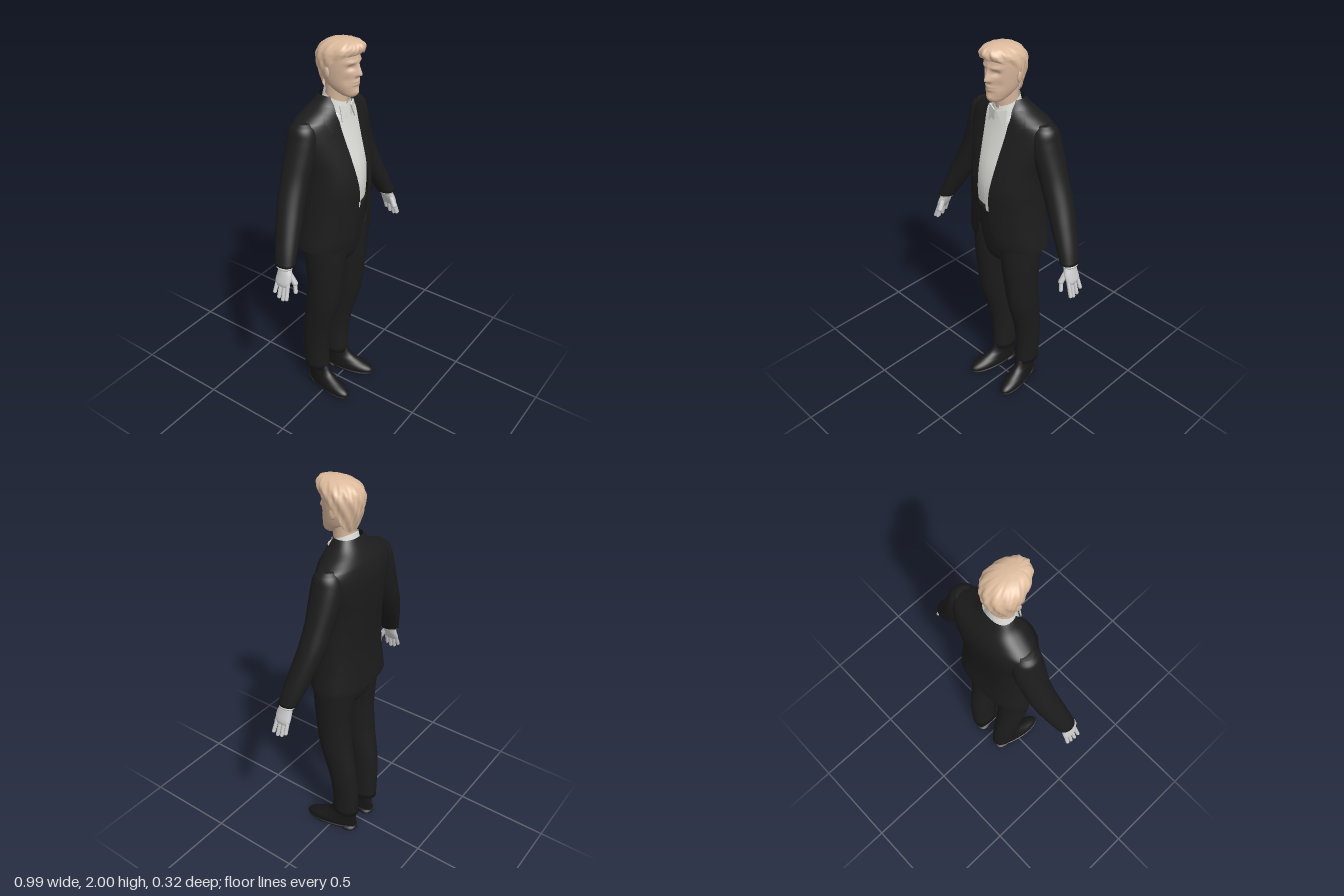
import * as THREE from 'three';
import { mergeVertices } from 'three/addons/utils/BufferGeometryUtils.js';

const TAU = Math.PI * 2;
const flat = (name, color) => {
  const m = new THREE.MeshStandardMaterial({ color, side: THREE.DoubleSide });
  m.name = name;
  return m;
};

// Cross-section columns: y, centre x, half width, middle z, front z, back z, start angle, end angle
// Angles run from the front (0) towards the left (+x).
function sample(rings, y) {
  let i = 0;
  while (i < rings.length - 2 && y > rings[i + 1][0]) i++;
  const a = rings[i], b = rings[i + 1], p = rings[i - 1] || a, n = rings[i + 2] || b;
  const h = b[0] - a[0], t = (y - a[0]) / h, t2 = t * t, t3 = t2 * t;
  return a.map((v, k) => {
    if (k === 0) return y;
    const ma = (b[k] - p[k]) / (b[0] - p[0]) * h, mb = (n[k] - v) / (n[0] - a[0]) * h;
    return v * (2 * t3 - 3 * t2 + 1) + ma * (t3 - 2 * t2 + t) + b[k] * (3 * t2 - 2 * t3) + mb * (t3 - t2);
  });
}

// Smooth skin through horizontal cross-sections, listed from low to high
function loft(rings, { seg = 40, sub = 5, cap = true, backPow = 1, tiltZ = 0, warp } = {}) {
  rings = rings.map(r => r.length < 8 ? [...r, 0, TAU] : r);
  const rows = [], pos = [], idx = [];
  rings.forEach((r, i) => {
    if (i === rings.length - 1) rows.push(r);
    else for (let s = 0; s < sub; s++) rows.push(sample(rings, r[0] + (rings[i + 1][0] - r[0]) * s / sub));
  });
  const w = seg + 1, v = new THREE.Vector3();
  rows.forEach(([y, cx, rx, zc, zf, zb, a0, a1], i) => {
    for (let j = 0; j < w; j++) {
      const a = a0 + (a1 - a0) * j / seg, c = Math.cos(a), s = Math.sin(a);
      const e = c < 0 ? backPow : 1;
      const z = zc + (c > 0 ? c * (zf - zc) : -Math.pow(-c, e) * (zc - zb));
      v.set(cx + rx * Math.sign(s) * Math.pow(Math.abs(s), e), y - tiltZ * z, z);
      if (warp) warp(v, a);
      pos.push(v.x, v.y, v.z);
      if (i && j) {
        const q = i * w + j;
        idx.push(q - w - 1, q - w, q, q - w - 1, q, q - 1);
      }
    }
  });
  if (cap) [0, rows.length - 1].forEach(i => {
    const [y, cx, , zc] = rows[i], m = pos.length / 3;
    pos.push(cx, y - tiltZ * zc, zc);
    for (let j = 0; j < seg; j++) {
      const q = i * w + j;
      if (i) idx.push(q, q + 1, m); else idx.push(q + 1, q, m);
    }
  });
  let g = new THREE.BufferGeometry();
  g.setAttribute('position', new THREE.Float32BufferAttribute(pos, 3));
  g.setIndex(idx);
  g = mergeVertices(g, 1e-5);
  g.computeVertexNormals();
  return g;
}

const bump = (d, w) => Math.exp(-(d * d) / (w * w));

export function createModel() {
  const model = new THREE.Group();
  model.name = 'suitedMan';
  const suit = flat('suitBlack', 0x1c1c1c), leather = flat('shoeBlack', 0x171717);
  const shirtMat = flat('shirtWhite', 0xdcdcd8), handMat = flat('paleSkin', 0xcacaca);
  const skin = flat('warmSkin', 0xd6b59b), hairMat = flat('blondHair', 0xdcba9c);
  const add = (parent, name, geo, mat) => {
    const m = new THREE.Mesh(geo, mat);
    m.name = name;
    parent.add(m);
    return m;
  };

  // Jacket shell, open at the front
  const jacketRings = [
    [0.975, 0, 0.227, -0.02, 0.132, -0.16, 0.48], [0.995, 0, 0.225, -0.02, 0.137, -0.159, 0.36],
    [1.03, 0, 0.22, -0.02, 0.143, -0.156, 0.27], [1.1, 0, 0.21, -0.02, 0.148, -0.15, 0.19],
    [1.2, 0, 0.201, -0.02, 0.152, -0.146, 0.16], [1.3, 0, 0.197, -0.02, 0.155, -0.15, 0.2],
    [1.4, 0, 0.2, -0.025, 0.138, -0.156, 0.25], [1.5, 0, 0.222, -0.035, 0.105, -0.161, 0.28],
    [1.58, 0, 0.232, -0.045, 0.08, -0.158, 0.3], [1.635, 0, 0.222, -0.05, 0.064, -0.143, 0.34],
    [1.665, 0, 0.175, -0.045, 0.058, -0.127, 0.44], [1.7, 0, 0.112, -0.035, 0.052, -0.104, 0.68],
    [1.74, 0, 0.076, -0.02, 0.045, -0.077, 1.1]
  ].map(r => [...r, TAU - r[6]]);
  add(model, 'jacket', loft(jacketRings, { seg: 64, cap: false, backPow: 0.8 }), suit);

  // Thin strips that follow the jacket: lapels, pocket flaps, breast pocket
  const strip = (parent, name, list, lift) => add(parent, name, loft(list.map(([y, a0, a1]) => {
    const r = sample(jacketRings, y);
    return [y, 0, r[2] + lift, r[3], r[4] + lift, r[5] - lift, a0 ?? r[6], a1];
  }), { seg: 8, sub: 3, cap: false }), suit);

  const shirtRings = [
    [1.17, 0, 0.17, -0.02, 0.122, -0.12], [1.3, 0, 0.17, -0.02, 0.132, -0.12],
    [1.4, 0, 0.178, -0.025, 0.12, -0.125], [1.5, 0, 0.19, -0.035, 0.092, -0.13],
    [1.58, 0, 0.19, -0.04, 0.07, -0.12], [1.635, 0, 0.15, -0.04, 0.058, -0.1],
    [1.67, 0, 0.09, -0.03, 0.052, -0.08], [1.7, 0, 0.06, -0.02, 0.045, -0.06]
  ];
  add(model, 'shirt', loft(shirtRings), shirtMat);
  add(model, 'shirtPlacket', loft(shirtRings.slice(0, 7).map(r =>
    [r[0], 0, r[2], r[3], r[4] + 0.005, r[5], -0.07, 0.07]), { seg: 4, cap: false }), shirtMat);
  add(model, 'shirtCollar', loft([
    [1.66, 0, 0.078, -0.01, 0.066, -0.078, 0.16, TAU - 0.16],
    [1.7, 0, 0.068, -0.008, 0.064, -0.07, 0.14, TAU - 0.14],
    [1.735, 0, 0.061, -0.005, 0.058, -0.063, 0.2, TAU - 0.2]
  ], { cap: false, tiltZ: 0.42 }), shirtMat);

  // Trouser seat and waist
  add(model, 'trouserSeat', loft([
    [0.83, 0, 0.05, -0.01, 0.03, -0.06], [0.87, 0, 0.13, -0.01, 0.08, -0.11],
    [0.95, 0, 0.184, -0.01, 0.102, -0.125], [1.05, 0, 0.188, -0.01, 0.115, -0.13],
    [1.2, 0, 0.176, -0.01, 0.129, -0.125]
  ]), suit);

  // Head with eye sockets, nose, lips and chin pressed into the surface
  const faceWarp = v => {
    if (v.z < 0.03) return;
    const { x, y } = v, ax = Math.abs(x);
    v.z -= 0.014 * bump(ax - 0.033, 0.017) * bump(y - 1.882, 0.013);
    v.z += 0.006 * bump(ax - 0.033, 0.025) * bump(y - 1.906, 0.009);
    const t = THREE.MathUtils.clamp((1.9 - y) / 0.052, 0, 1);
    const under = y < 1.848 ? bump(y - 1.848, 0.009) : 1;
    v.z += (0.004 + 0.022 * t) * bump(x, 0.009 + 0.006 * t) * under * (y < 1.91 ? 1 : bump(y - 1.91, 0.012));
    v.z += 0.007 * bump(x, 0.024) * (bump(y - 1.816, 0.006) + bump(y - 1.802, 0.006));
    v.z += 0.007 * bump(x, 0.02) * bump(y - 1.764, 0.014);
    v.z -= 0.005 * bump(ax - 0.045, 0.014) * bump(y - 1.825, 0.02);
  };
  add(model, 'head', loft([
    [1.738, 0, 0.02, 0.07, 0.092, 0.045], [1.748, 0, 0.036, 0.06, 0.104, 0.02],
    [1.77, 0, 0.053, 0.035, 0.108, -0.02], [1.8, 0, 0.067, 0.015, 0.109, -0.055],
    [1.85, 0, 0.078, 0, 0.11, -0.078], [1.9, 0, 0.083, 0, 0.11, -0.084],
    [1.94, 0, 0.082, 0, 0.104, -0.08], [1.965, 0, 0.065, 0.01, 0.09, -0.06], [1.982, 0, 0.03, 0.02, 0.06, -0.02]
  ], { seg: 96, sub: 10, warp: faceWarp }), skin);
  add(model, 'neck', loft([
    [1.62, 0, 0.07, -0.015, 0.045, -0.075], [1.7, 0, 0.056, -0.008, 0.048, -0.062],
    [1.76, 0, 0.055, -0.005, 0.05, -0.054], [1.82, 0, 0.058, -0.005, 0.055, -0.06]
  ]), skin);

  // Swept-back hair with shallow wavy strands
  add(model, 'hair', loft([
    [1.765, 0, 0.052, -0.02, 0.05, -0.056, 2.3], [1.8, 0, 0.07, -0.012, 0.09, -0.07, 1.95],
    [1.85, 0, 0.085, 0, 0.1, -0.088, 1.75], [1.89, 0, 0.094, 0, 0.104, -0.095, 1.42],
    [1.918, 0, 0.097, 0, 0.11, -0.095, 1.05], [1.937, 0, 0.096, 0.005, 0.121, -0.09, 0.6],
    [1.95, 0, 0.093, 0.01, 0.132, -0.083, 0], [1.968, 0, 0.083, 0.02, 0.138, -0.068, 0],
    [1.985, 0, 0.064, 0.032, 0.13, -0.042, 0], [1.994, 0, 0.044, 0.045, 0.114, -0.012, 0],
    [1.999, 0, 0.02, 0.055, 0.085, 0.025, 0]
  ].map(r => [...r, TAU - r[6]]), {
    seg: 110, sub: 6, cap: false, warp: (v, a) => {
      const k = 1 + 0.025 * Math.sin(11 * a + 55 * v.y) + 0.012 * Math.sin(23 * a - 40 * v.y);
      v.x *= k;
      v.z = 0.02 + (v.z - 0.02) * k;
    }
  }), hairMat);
  add(model, 'hairCrown', new THREE.SphereGeometry(1, 24, 12).scale(0.05, 0.014, 0.06).translate(0, 1.986, 0.05), hairMat);

  // Rounded finger between two points
  const finger = (parent, name, a, b, r) => {
    const p = new THREE.Vector3(...a), d = new THREE.Vector3(...b).sub(p);
    const m = add(parent, name, new THREE.CapsuleGeometry(r, d.length(), 5, 10), handMat);
    m.position.copy(p).addScaledVector(d, 0.5);
    m.quaternion.setFromUnitVectors(new THREE.Vector3(0, 1, 0), d.normalize());
  };

  // Everything that is mirrored, built for the left (+x) side
  for (const side of [1, -1]) {
    const half = new THREE.Group();
    half.name = side > 0 ? 'leftSide' : 'rightSide';
    half.scale.x = side;
    model.add(half);

    add(half, 'sleeve', loft([
      [1.035, 0.43, 0.041, 0.01, 0.06, -0.04], [1.1, 0.4, 0.05, -0.004, 0.052, -0.06],
      [1.2, 0.35, 0.061, -0.025, 0.038, -0.088], [1.3, 0.302, 0.068, -0.045, 0.025, -0.11],
      [1.4, 0.257, 0.071, -0.055, 0.02, -0.12], [1.5, 0.221, 0.071, -0.055, 0.024, -0.128],
      [1.58, 0.2, 0.067, -0.052, 0.022, -0.125], [1.625, 0.195, 0.058, -0.05, 0.01, -0.11],
      [1.65, 0.19, 0.035, -0.05, -0.015, -0.085]
    ]), suit);
    add(half, 'shirtCuff', loft([
      [1.022, 0.436, 0.034, 0.012, 0.052, -0.03], [1.045, 0.427, 0.034, 0.011, 0.052, -0.03]
    ]), shirtMat);

    // Hand
    add(half, 'palm', loft([
      [0.938, 0.468, 0.012, 0.02, 0.052, -0.018], [0.955, 0.463, 0.018, 0.02, 0.06, -0.024],
      [0.99, 0.448, 0.023, 0.019, 0.06, -0.022], [1.03, 0.434, 0.025, 0.013, 0.045, -0.02],
      [1.06, 0.424, 0.025, 0.01, 0.042, -0.02]
    ]), handMat);
    [[0.05, 0.885], [0.03, 0.874], [0.009, 0.88], [-0.012, 0.9]].forEach(([z, tip], i) =>
      finger(half, 'finger' + (i + 1), [0.463, 0.955, z], [0.488 - i * 0.001, tip, z * 1.15], 0.0095));
    finger(half, 'thumbBase', [0.44, 0.995, 0.042], [0.434, 0.95, 0.068], 0.014);
    finger(half, 'thumb', [0.434, 0.95, 0.068], [0.444, 0.91, 0.078], 0.01);

    // Lapel and hip pocket flap
    strip(half, 'lapel', [[1.23, null, 0.22], [1.32, null, 0.42], [1.45, null, 0.62], [1.57, null, 0.78],
      [1.6, null, 0.62], [1.65, null, 0.8], [1.7, null, 1.15]], 0.006);
    strip(half, 'pocketFlap', [[1.19, 0.75, 1.35], [1.225, 0.75, 1.35]], 0.005);

    // Folded collar point
    const point = new THREE.Shape([[0.008, 1.69], [0.058, 1.7], [0.05, 1.62]].map(p => new THREE.Vector2(...p)));
    const leaf = new THREE.ExtrudeGeometry(point, { depth: 0.005, bevelEnabled: false });
    leaf.translate(0, -1.66, 0).rotateX(-0.12).rotateY(0.35).translate(0, 1.66, 0.072);
    add(half, 'collarPoint', leaf, shirtMat);

    // Ear
    const ear = add(half, 'ear', new THREE.SphereGeometry(1, 16, 12).scale(0.009, 0.03, 0.018), skin);
    ear.position.set(0.085, 1.86, 0.0);
    ear.rotation.set(-0.15, 0.35, 0);

    // Trouser leg
    add(half, 'trouserLeg', loft([
      [0.125, 0.087, 0.057, -0.075, -0.002, -0.15], [0.28, 0.094, 0.059, -0.073, 0.0, -0.149],
      [0.4, 0.099, 0.063, -0.06, 0.018, -0.143], [0.5, 0.102, 0.069, -0.04, 0.045, -0.128],
      [0.6, 0.104, 0.075, -0.02, 0.07, -0.113], [0.75, 0.1, 0.084, -0.01, 0.09, -0.106],
      [0.85, 0.096, 0.092, -0.01, 0.1, -0.113], [0.96, 0.093, 0.096, -0.01, 0.105, -0.123],
      [1.05, 0.09, 0.092, -0.01, 0.105, -0.12]
    ]), suit);

    // Shoe, toes turned slightly out
    const shoe = new THREE.Group();
    shoe.name = 'shoe';
    shoe.position.set(0.098, 0, 0);
    shoe.rotation.y = 0.18;
    half.add(shoe);
    add(shoe, 'upper', loft([
      [0.02, 0, 0.047, 0.03, 0.158, -0.135], [0.035, 0, 0.049, 0.03, 0.157, -0.136],
      [0.052, 0, 0.046, 0.015, 0.135, -0.136], [0.072, 0, 0.041, -0.02, 0.085, -0.136],
      [0.1, 0, 0.038, -0.06, 0.028, -0.132], [0.15, 0, 0.037, -0.072, -0.005, -0.13]
    ]), leather);
    add(shoe, 'sole', loft([
      [0.006, 0, 0.047, 0.03, 0.155, -0.13], [0.022, 0, 0.052, 0.03, 0.164, -0.138]
    ], { sub: 1 }), leather);
    add(shoe, 'heel', loft([
      [0, 0, 0.041, -0.085, -0.05, -0.138], [0.02, 0, 0.042, -0.085, -0.045, -0.139]
    ], { sub: 1, backPow: 0.8 }), leather);
  }
  strip(model, 'breastPocket', [[1.475, 0.66, 1.0], [1.495, 0.66, 1.0]], 0.005);

  return model;
}
